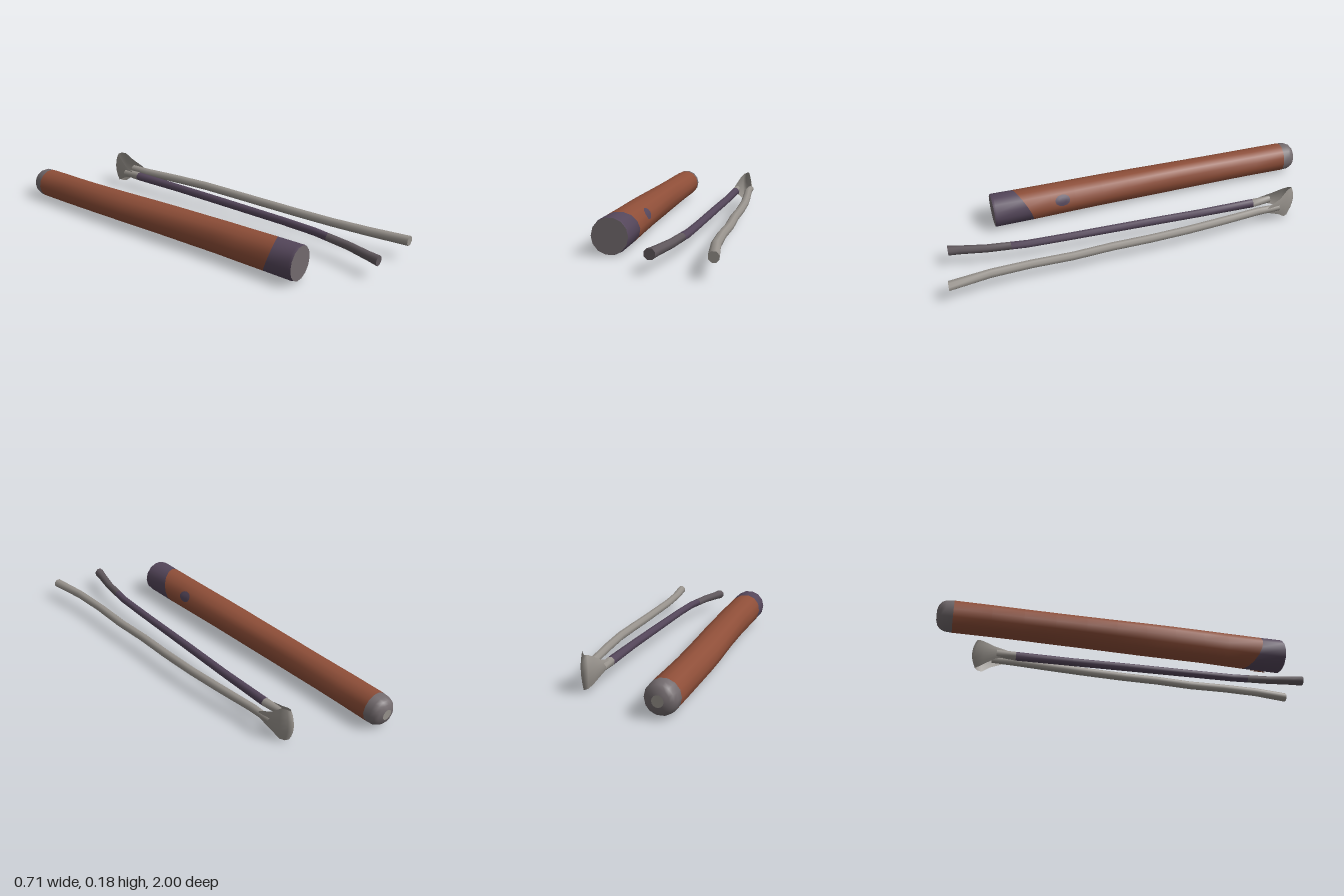
import * as THREE from 'three';

const mat = (name, color, side = THREE.FrontSide) => {
  const m = new THREE.MeshStandardMaterial({ color, side });
  m.name = name;
  return m;
};

// Geometry from points and triangle indices
function build(points, index) {
  const g = new THREE.BufferGeometry().setFromPoints(points);
  g.setIndex(index);
  g.computeVertexNormals();
  return g;
}

// Skin over closed rings ordered towards +z
function loft(rings) {
  const n = rings[0].length, index = [];
  for (let i = 0; i < rings.length - 1; i++)
    for (let j = 0; j < n; j++) {
      const k = (j + 1) % n, a = i * n, b = a + n;
      index.push(a + j, a + k, b + j, a + k, b + k, b + j);
    }
  return build(rings.flat(), index);
}

// Flat end closing a ring
function fan(ring, flip = false) {
  const c = new THREE.Vector3();
  ring.forEach(p => c.addScaledVector(p, 1 / ring.length));
  const index = [];
  ring.forEach((_, j) => {
    const a = j + 1, b = (j + 1) % ring.length + 1;
    index.push(0, ...(flip ? [b, a] : [a, b]));
  });
  return build([c, ...ring], index);
}

// Piecewise linear lookup in rows of [z, ...values]
function lookup(rows, z) {
  let i = 0;
  while (i < rows.length - 2 && z > rows[i + 1][0]) i++;
  const t = (z - rows[i][0]) / (rows[i + 1][0] - rows[i][0]);
  return rows[i].map((v, k) => v + (rows[i + 1][k] - v) * t);
}

// Log sections: z, centre x, centre y, radius
const LOG = [
  [-1, -0.28, 0.081, 0.076], [-0.92, -0.28, 0.081, 0.077], [-0.6, -0.268, 0.083, 0.077],
  [-0.35, -0.257, 0.085, 0.079], [0, -0.233, 0.089, 0.082], [0.3, -0.213, 0.092, 0.084],
  [0.6, -0.2, 0.091, 0.087], [0.74, -0.195, 0.091, 0.088],
];
const SIDES = 14;

function logPoint(z, a, grow = 0, scale = 1) {
  const [, x, y, r] = lookup(LOG, z);
  // gentle hewn unevenness that fades out at both ends
  const fade = Math.max(0, 1 - Math.pow(Math.abs(z + 0.12) / 0.75, 4));
  const k = r * scale * (1 + 0.025 * fade * Math.sin(3 * a + 5 * z)) + grow;
  return new THREE.Vector3(x + k * Math.cos(a), y + k * Math.sin(a), z);
}
const logRing = (zAt, scale = 1) => Array.from({ length: SIDES }, (_, j) => {
  const a = j / SIDES * Math.PI * 2;
  return logPoint(typeof zAt === 'function' ? zAt(a) : zAt, a, 0, scale);
});

// Rounded colour patch lying on the log
function logPatch(z0, a0, dz, da) {
  const n = 12, pts = [logPoint(z0, a0, 0.003)], index = [];
  for (const s of [0.5, 1])
    for (let i = 0; i < n; i++) {
      const t = i / n * Math.PI * 2;
      pts.push(logPoint(z0 + s * dz * Math.sin(t), a0 + s * da * Math.cos(t), 0.003));
    }
  for (let i = 0; i < n; i++) {
    const a = 1 + i, b = 1 + (i + 1) % n;
    index.push(0, a, b, a, a + n, b, b, a + n, b + n);
  }
  return build(pts, index);
}

// Strand sections: z, x, y, radius
const DARK = [
  [-0.7, 0.1, 0.092, 0.019], [-0.6, 0.108, 0.09, 0.023], [-0.3, 0.118, 0.092, 0.021],
  [0, 0.122, 0.094, 0.021], [0.4, 0.128, 0.095, 0.02], [0.6, 0.127, 0.094, 0.02],
  [0.8, 0.105, 0.091, 0.021], [0.93, 0.077, 0.088, 0.023], [0.985, 0.066, 0.087, 0.026],
];
const PALE = [
  [-0.72, 0.18, 0.092, 0.018], [-0.6, 0.185, 0.092, 0.021], [-0.4, 0.213, 0.094, 0.022],
  [-0.2, 0.237, 0.095, 0.022], [0, 0.25, 0.093, 0.022], [0.2, 0.258, 0.093, 0.022],
  [0.4, 0.273, 0.09, 0.022], [0.6, 0.28, 0.093, 0.022], [0.8, 0.298, 0.096, 0.023],
  [1, 0.333, 0.095, 0.025],
];
function strandRing(rows, z) {
  const [, x, y, r] = lookup(rows, z);
  return Array.from({ length: 8 }, (_, j) => {
    const a = (j + 0.5) / 8 * Math.PI * 2;
    return new THREE.Vector3(x + r * Math.cos(a), y + r * Math.sin(a), z);
  });
}
function strand(rows, from, to) {
  const zs = [from, ...rows.map(r => r[0]).filter(z => z > from && z < to), to];
  return loft(zs.map(z => strandRing(rows, z)));
}

export function createModel() {
  const wood = mat('reddish wood', 0x8e4e38);
  const purple = mat('dark purple', 0x54465a);
  const grey = mat('warm grey', 0x726a6d);
  const pale = mat('pale grey', 0x98938d);
  const paleSheet = mat('pale grey sheet', 0x98938d, THREE.DoubleSide);
  const dusk = mat('dusky grey', 0x5f575c);

  const model = new THREE.Group();
  model.name = 'logAndSling';
  const add = (parent, name, geometry, material) => {
    const m = new THREE.Mesh(geometry, material);
    m.name = name;
    parent.add(m);
  };

  // Log
  const log = new THREE.Group();
  log.name = 'log';
  model.add(log);
  const edge = a => 0.575 - 0.035 * Math.cos(a) + 0.03 * Math.sin(a);
  const front = a => 0.722 - 0.006 * Math.cos(a);
  const rim = a => 0.735 - 0.006 * Math.cos(a);
  const body = [-0.925, -0.75, -0.6, -0.45, -0.3, -0.15, 0, 0.15, 0.3, 0.43].map(z => logRing(z));
  add(log, 'logBody', loft([...body, logRing(edge)]), wood);
  add(log, 'paintedBand', loft([logRing(edge), logRing(front), logRing(rim, 0.97)]), purple);
  add(log, 'frontFace', fan(logRing(rim, 0.97)), grey);
  const dome = [[-1, 0.35], [-0.993, 0.65], [-0.98, 0.85], [-0.96, 0.97], [-0.925, 1.0]];
  add(log, 'roundedBackCap', loft(dome.map(([z, s]) => logRing(z, s))), grey);
  add(log, 'backSpot', fan(logRing(-1, 0.35), true), pale);
  add(log, 'sidePatch', logPatch(0.37, 0.45, 0.04, 0.35), purple);
  add(log, 'undersidePatch', logPatch(0.62, -1.2, 0.045, 0.28), wood);

  // Sling strands
  const sling = new THREE.Group();
  sling.name = 'sling';
  model.add(sling);
  add(sling, 'darkStrandTie', strand(DARK, -0.7, -0.6), pale);
  add(sling, 'darkStrand', strand(DARK, -0.6, 0.68), purple);
  add(sling, 'darkStrandTail', strand(DARK, 0.68, 0.985), dusk);
  add(sling, 'darkStrandEnd', fan(strandRing(DARK, 0.985)), dusk);
  add(sling, 'paleStrand', strand(PALE, -0.72, 1), pale);
  add(sling, 'paleStrandEnd', fan(strandRing(PALE, 1)), pale);

  // Cupped pouch: a sheet bent round a U, its edges curling inwards
  const U = [ // x, z, half height
    [0.092, -0.64, 0.018], [0.093, -0.7, 0.035], [0.105, -0.765, 0.065], [0.118, -0.805, 0.078],
    [0.133, -0.823, 0.08], [0.152, -0.805, 0.087], [0.172, -0.77, 0.086], [0.189, -0.715, 0.05],
    [0.197, -0.65, 0.02],
  ];
  const rows = 6, pts = [], index = [];
  U.forEach(([x, z, h], i) => {
    for (let j = 0; j <= rows; j++) {
      const v = j / rows * 2 - 1, curl = 0.35 * v * v * (h / 0.087);
      pts.push(new THREE.Vector3(x + (0.147 - x) * curl, 0.095 + h * v, z + (-0.76 - z) * curl));
      if (i && j) {
        const d = i * (rows + 1) + j, b = d - rows - 1;
        index.push(b - 1, b, d - 1, b, d, d - 1);
      }
    }
  });
  add(sling, 'pouch', build(pts, index), paleSheet);

  return model;
}
